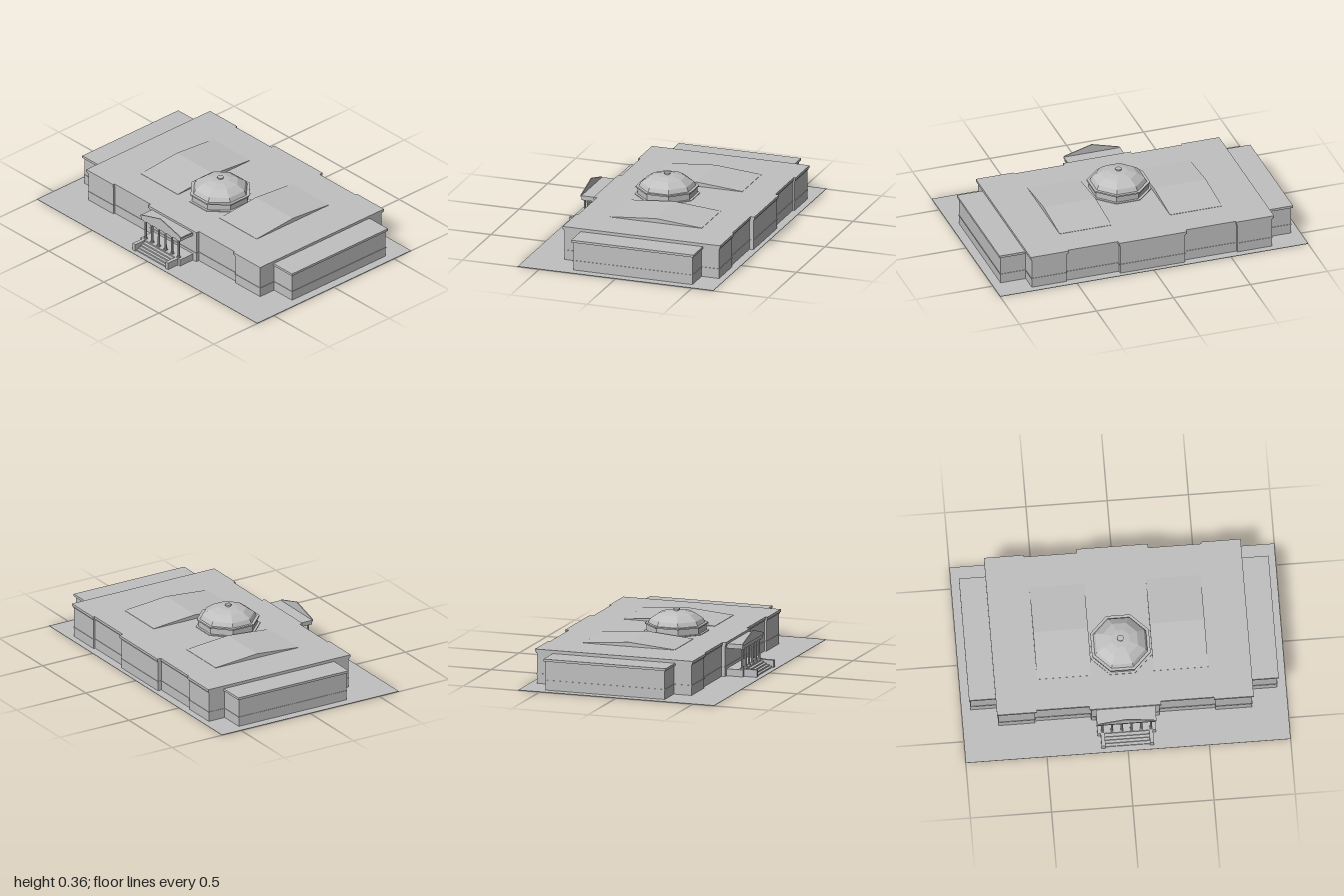
import * as THREE from 'three';

export function createModel() {
  const model = new THREE.Group();
  const stone = new THREE.MeshStandardMaterial({ color: 0xc0c0c0 });
  stone.name = 'paleStone';
  stone.flatShading = true;

  const add = (name, geometry, parent = model) => {
    const mesh = new THREE.Mesh(geometry, stone);
    mesh.name = name;
    parent.add(mesh);
    return mesh;
  };
  // Box given by its limits
  const box = (name, x0, x1, y0, y1, z0, z1, parent) => {
    const g = new THREE.BoxGeometry(x1 - x0, y1 - y0, z1 - z0);
    g.translate((x0 + x1) / 2, (y0 + y1) / 2, (z0 + z1) / 2);
    return add(name, g, parent);
  };
  // Horizontal slab from a plan of [x, z] points
  const slab = (name, plan, y0, y1) => {
    const shape = new THREE.Shape(plan.map(([x, z]) => new THREE.Vector2(x, -z)));
    const g = new THREE.ExtrudeGeometry(shape, { depth: y1 - y0, bevelEnabled: false });
    g.rotateX(-Math.PI / 2).translate(0, y0, 0);
    return add(name, g);
  };

  // Ground plate
  box('ground', -1, 1, 0, 0.003, -0.64, 0.64);

  // Main block plan, grown outwards by d, mirrored about x = 0
  const mainPlan = (d) => {
    const right = [
      [0.21 + d, 0.422 + d], [0.21 + d, 0.4 + d], [0.555 - d, 0.4 + d], [0.555 - d, 0.413 + d],
      [0.78 + d, 0.413 + d], [0.78 + d, -0.597 - d], [0.555 - d, -0.597 - d],
      [0.555 - d, -0.585 - d], [0.21 + d, -0.585 - d], [0.21 + d, -0.61 - d],
    ];
    return [...right, ...right.map(([x, z]) => [-x, z]).reverse()];
  };
  slab('mainWalls', mainPlan(0), 0.003, 0.205);
  slab('mainStringCourse', mainPlan(0.003), 0.06, 0.066);
  slab('mainCorniceLower', mainPlan(0.005), 0.195, 0.204);
  slab('mainCornice', mainPlan(0.01), 0.204, 0.22);

  for (const s of [-1, 1]) {
    // Lower end wing
    const wing = new THREE.Group();
    wing.name = s > 0 ? 'leftWing' : 'rightWing';
    model.add(wing);
    const wingBox = (name, d, y0, y1) => {
      const xs = [s * 0.7, s * (0.943 + d)].sort((a, b) => a - b);
      box(name, xs[0], xs[1], y0, y1, -0.482 - d, 0.297 + d, wing);
    };
    wingBox('wingWalls', 0, 0.003, 0.19);
    wingBox('wingStringCourse', 0.003, 0.06, 0.066);
    wingBox('wingCornice', 0.01, 0.184, 0.199);

    // Low gabled skylight with its ridge along x
    const gable = new THREE.Shape([
      new THREE.Vector2(-0.21, 0.218), new THREE.Vector2(0.39, 0.218),
      new THREE.Vector2(0.39, 0.222), new THREE.Vector2(0.09, 0.247), new THREE.Vector2(-0.21, 0.222),
    ]);
    const g = new THREE.ExtrudeGeometry(gable, { depth: 0.337, bevelEnabled: false });
    g.rotateY(Math.PI / 2).translate(s > 0 ? 0.19 : -0.527, 0, 0);
    add(s > 0 ? 'leftSkylight' : 'rightSkylight', g);
  }

  // Octagonal dome, sizes given across the flats
  const dome = new THREE.Group();
  dome.name = 'domeGroup';
  dome.position.z = 0.03;
  model.add(dome);
  const octagon = (name, profile) => {
    const pts = profile.map(([a, y]) => new THREE.Vector2(a / Math.cos(Math.PI / 8), y));
    add(name, new THREE.LatheGeometry(pts, 8, Math.PI / 8).toNonIndexed(), dome);
  };
  octagon('domeFoot', [[0.185, 0.218], [0.185, 0.224], [0.165, 0.224]]);
  octagon('drum', [[0.17, 0.22], [0.17, 0.266]]);
  octagon('drumCornice', [[0.165, 0.264], [0.18, 0.264], [0.18, 0.273], [0.15, 0.273]]);
  octagon('domeShell', [[0.163, 0.272], [0.15, 0.299], [0.105, 0.332], [0.055, 0.345], [0, 0.348]]);
  add('lanternNeck', new THREE.CylinderGeometry(0.015, 0.015, 0.012, 12), dome).position.y = 0.349;
  add('lanternCap', new THREE.CylinderGeometry(0.02, 0.02, 0.007, 12), dome).position.y = 0.3565;

  // Entrance portico
  const portico = new THREE.Group();
  portico.name = 'portico';
  model.add(portico);
  box('porticoFloor', -0.18, 0.18, 0.003, 0.047, 0.41, 0.53, portico);
  box('architrave', -0.177, 0.177, 0.176, 0.197, 0.41, 0.526, portico);
  box('porticoRoof', -0.183, 0.183, 0.197, 0.206, 0.41, 0.531, portico);

  // Thin pediment standing on the front edge
  const triangle = new THREE.Shape([
    new THREE.Vector2(-0.18, 0.205), new THREE.Vector2(0.18, 0.205),
    new THREE.Vector2(0.18, 0.211), new THREE.Vector2(0, 0.261), new THREE.Vector2(-0.18, 0.211),
  ]);
  const pediment = new THREE.ExtrudeGeometry(triangle, { depth: 0.006, bevelEnabled: false });
  add('pediment', pediment.translate(0, 0, 0.525), portico);

  // Six columns with bases and capitals
  for (let i = 0; i < 6; i++) {
    const x = -0.15 + i * 0.06;
    const shaft = new THREE.CylinderGeometry(0.0065, 0.008, 0.13, 10);
    add('column', shaft, portico).position.set(x, 0.112, 0.514);
    box('columnBase', x - 0.01, x + 0.01, 0.047, 0.053, 0.504, 0.524, portico);
    box('capital', x - 0.01, x + 0.01, 0.169, 0.176, 0.504, 0.524, portico);
  }

  // Steps between two cheek walls
  for (const s of [-1, 1]) {
    box('stepCheek', s * 0.149 - 0.012, s * 0.149 + 0.012, 0.003, 0.049, 0.53, 0.613, portico);
  }
  for (let i = 0; i < 4; i++) {
    box('step', -0.137, 0.137, 0.003, 0.038 - i * 0.009, 0.53, 0.55 + i * 0.018, portico);
  }

  return model;
}
